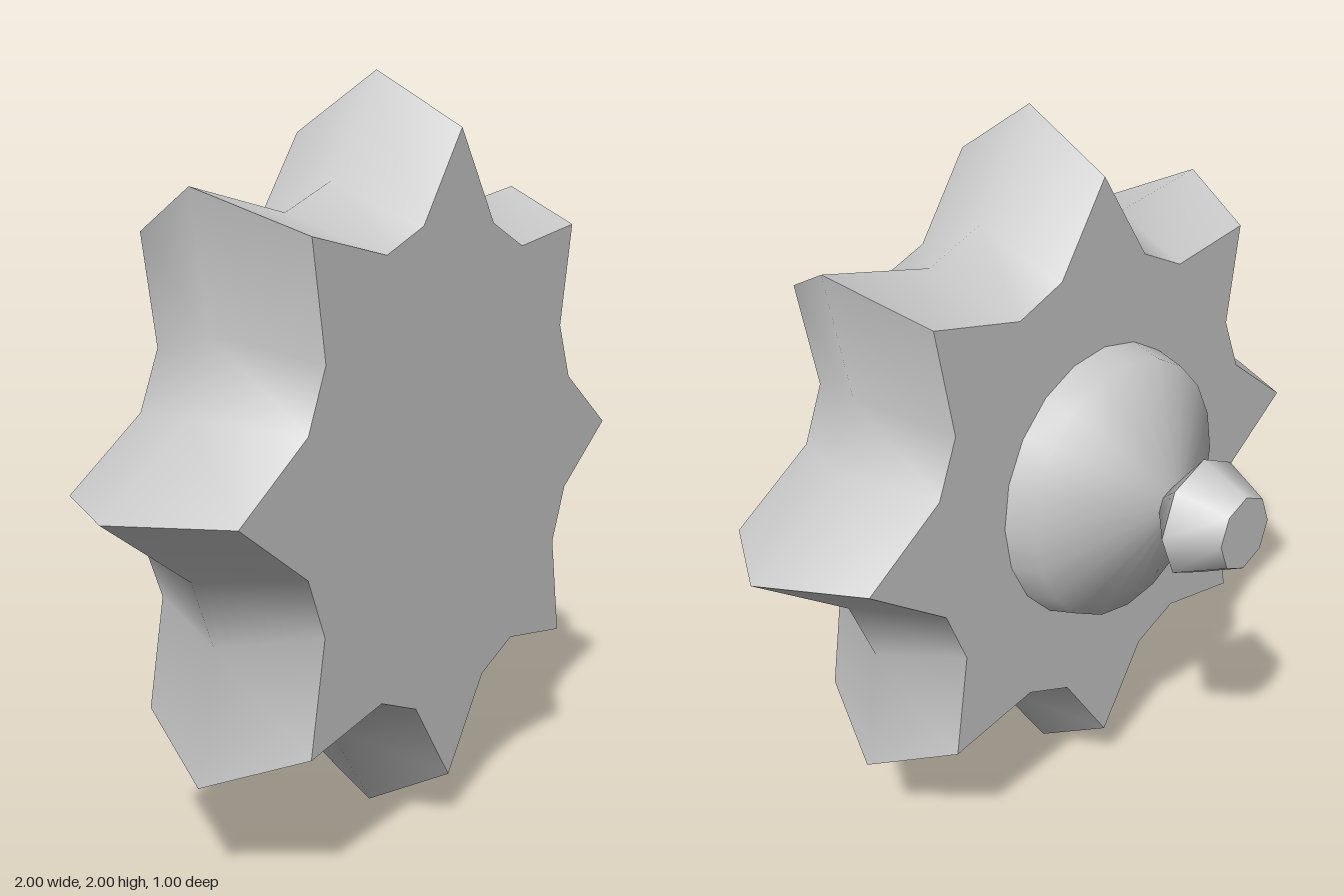
import * as THREE from 'three';
import { toCreasedNormals } from 'three/addons/utils/BufferGeometryUtils.js';

const CREASE = 1.0;

// Eight-pointed outline: a sharp tip, then two valley corners, every 15 degrees
function starRing(tip, valley, z) {
  const ring = [];
  for (let i = 0; i < 24; i++) {
    const a = i * Math.PI / 12;
    const r = i % 3 === 0 ? tip : valley;
    ring.push([r * Math.cos(a), r * Math.sin(a), z]);
  }
  return ring;
}

// Star body lofted through three outlines, closed by fans front and back
function starGeometry() {
  const rings = [
    starRing(0.85, 0.635, -0.02),
    starRing(1, 0.745, 0.24),
    starRing(0.85, 0.635, 0.5),
  ];
  const n = 24;
  const positions = rings.flat(2);
  const index = [];
  for (let k = 0; k < 2; k++) {
    for (let i = 0; i < n; i++) {
      const j = (i + 1) % n;
      const a = k * n + i, b = k * n + j;
      index.push(a, b, b + n, a, b + n, a + n);
    }
  }
  const back = positions.length / 3;
  positions.push(0, 0, -0.02, 0, 0, 0.5);
  for (let i = 0; i < n; i++) {
    const j = (i + 1) % n;
    index.push(back, j, i, back + 1, 2 * n + i, 2 * n + j);
  }
  const geometry = new THREE.BufferGeometry();
  geometry.setAttribute('position', new THREE.Float32BufferAttribute(positions, 3));
  geometry.setIndex(index);
  return toCreasedNormals(geometry, CREASE);
}

// Turned part whose axis points to the back; profile is [radius, distance back]
function turned(profile, sides) {
  const points = profile.map(([r, d]) => new THREE.Vector2(r, d));
  const geometry = new THREE.LatheGeometry(points, sides);
  geometry.rotateX(-Math.PI / 2);
  return toCreasedNormals(geometry, CREASE);
}

export function createModel() {
  const group = new THREE.Group();
  group.name = 'starKnob';
  const grey = new THREE.MeshStandardMaterial({ color: 0xc8c8c8 });
  grey.name = 'light grey';

  const add = (name, geometry) => {
    const mesh = new THREE.Mesh(geometry, grey);
    mesh.name = name;
    mesh.position.y = 1;
    group.add(mesh);
  };

  add('starBody', starGeometry());
  // Shallow dome on the back
  add('backDome', turned([[0.395, 0.02], [0.37, 0.11], [0.055, 0.26], [0, 0.26]], 20));
  // Small faceted stud at the end of the dome
  add('stud', turned([[0, 0.255], [0.055, 0.26], [0.168, 0.36], [0.103, 0.5], [0, 0.5]], 8));
  return group;
}
